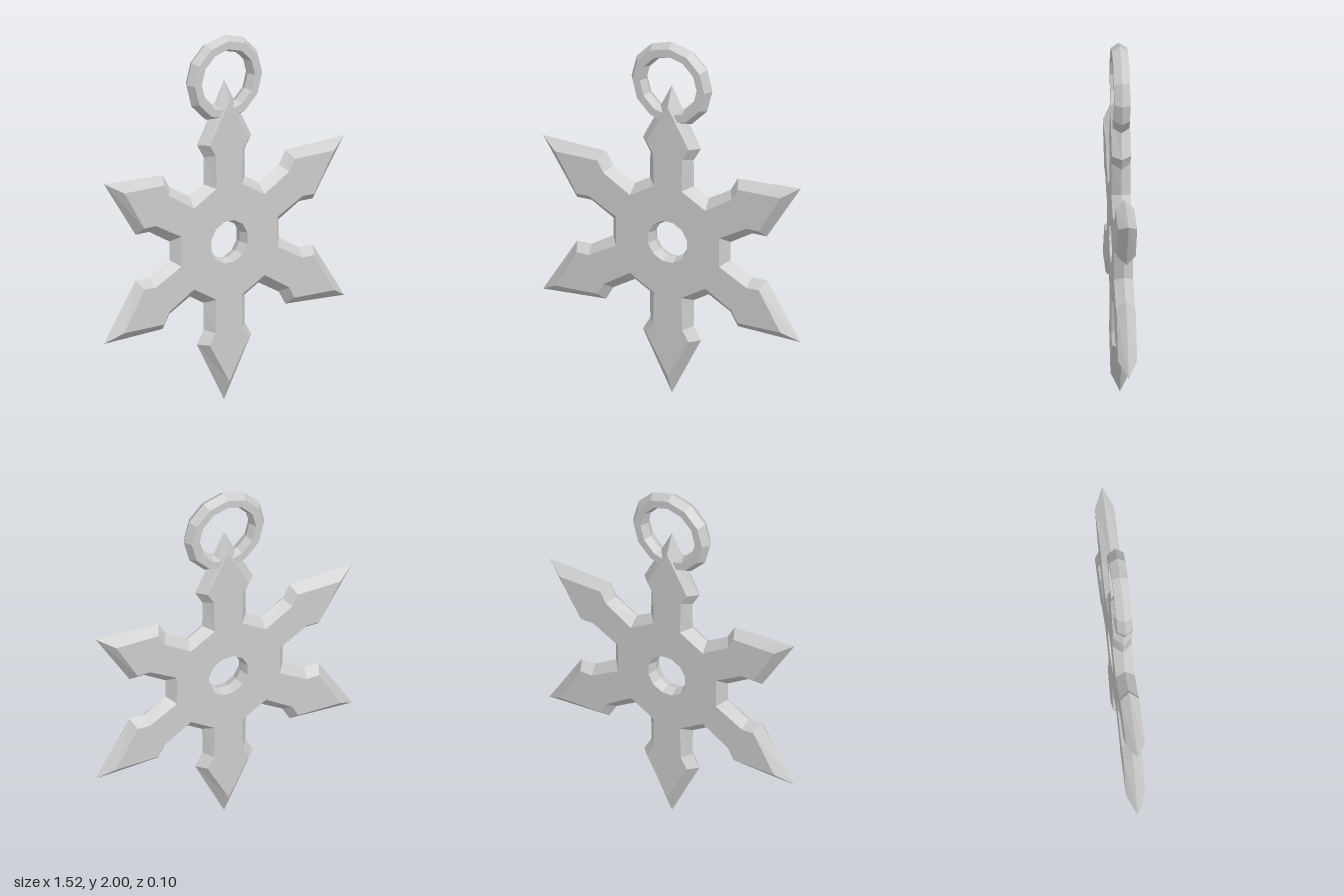
import * as THREE from 'three';

const ARMS = 6, CENTER_Y = 0.877, HALF = 0.05;

// Half profiles of one arm pointing up: neck, waist, shoulder, tip
const RIDGE_ARM = [[0.129, 0.325], [0.128, 0.473], [0.171, 0.547], [0, 0.877]];
const FACE_ARM = [[0.081, 0.304], [0.086, 0.487], [0.123, 0.548], [0, 0.767]];

// Mirrors an arm profile and repeats it around the centre, counter-clockwise
function starLoop(arm, z) {
  const full = [...arm, ...arm.slice(0, -1).reverse().map(([x, y]) => [-x, y])];
  const loop = [];
  for (let k = 0; k < ARMS; k++) {
    const a = (k * Math.PI * 2) / ARMS, c = Math.cos(a), s = Math.sin(a);
    for (const [x, y] of full) loop.push([x * c - y * s, x * s + y * c, z]);
  }
  return loop;
}

function circleLoop(r, z, sides, phase = 0) {
  return Array.from({ length: sides }, (_, i) => {
    const a = phase + (i / sides) * Math.PI * 2;
    return [r * Math.cos(a), r * Math.sin(a), z];
  });
}

// Joins consecutive loops with flat quads
function skin(loops) {
  const pos = [];
  for (let j = 0; j < loops.length - 1; j++) {
    const a = loops[j], b = loops[j + 1];
    for (let i = 0; i < a.length; i++) {
      const n = (i + 1) % a.length;
      pos.push(...a[i], ...a[n], ...b[n], ...a[i], ...b[n], ...b[i]);
    }
  }
  const geo = new THREE.BufferGeometry();
  geo.setAttribute('position', new THREE.Float32BufferAttribute(pos, 3));
  geo.computeVertexNormals();
  return geo;
}

export function createModel() {
  const group = new THREE.Group();
  const material = new THREE.MeshStandardMaterial({ color: 0xcccccc, flatShading: true });
  const add = (parent, name, geo) => {
    const mesh = new THREE.Mesh(geo, material);
    mesh.name = name;
    parent.add(mesh);
    return mesh;
  };

  const star = new THREE.Group();
  star.name = 'throwingStar';
  star.position.y = CENTER_Y;
  group.add(star);

  // Bevelled edge, meeting in a ridge at mid thickness
  add(star, 'bevelledEdge', skin([
    starLoop(FACE_ARM, -HALF), starLoop(RIDGE_ARM, 0), starLoop(FACE_ARM, HALF),
  ]));

  // Chamfered centre hole
  const hole = (r, z) => circleLoop(r, z, 12, Math.PI / 12);
  add(star, 'centreHole', skin([hole(0.118, HALF), hole(0.101, 0), hole(0.118, -HALF)]));

  // Flat front and back faces
  const toVec = ([x, y]) => new THREE.Vector2(x, y);
  const shape = new THREE.Shape(starLoop(FACE_ARM, 0).map(toVec));
  shape.holes.push(new THREE.Path(hole(0.118, 0).map(toVec)));
  const face = new THREE.ShapeGeometry(shape);
  add(star, 'frontFace', face).position.z = HALF;
  const back = add(star, 'backFace', face);
  back.rotation.y = Math.PI;
  back.position.z = -HALF;

  // Hanging ring with a six-sided section, through the top arm
  const section = [[0.238, 0], [0.212, 0.042], [0.168, 0.042], [0.15, 0],
    [0.168, -0.042], [0.212, -0.042], [0.238, 0]];
  const ring = add(group, 'hangingRing', skin(section.map(([r, z]) => circleLoop(r, z, 12))));
  ring.position.y = 1.762;

  return group;
}
